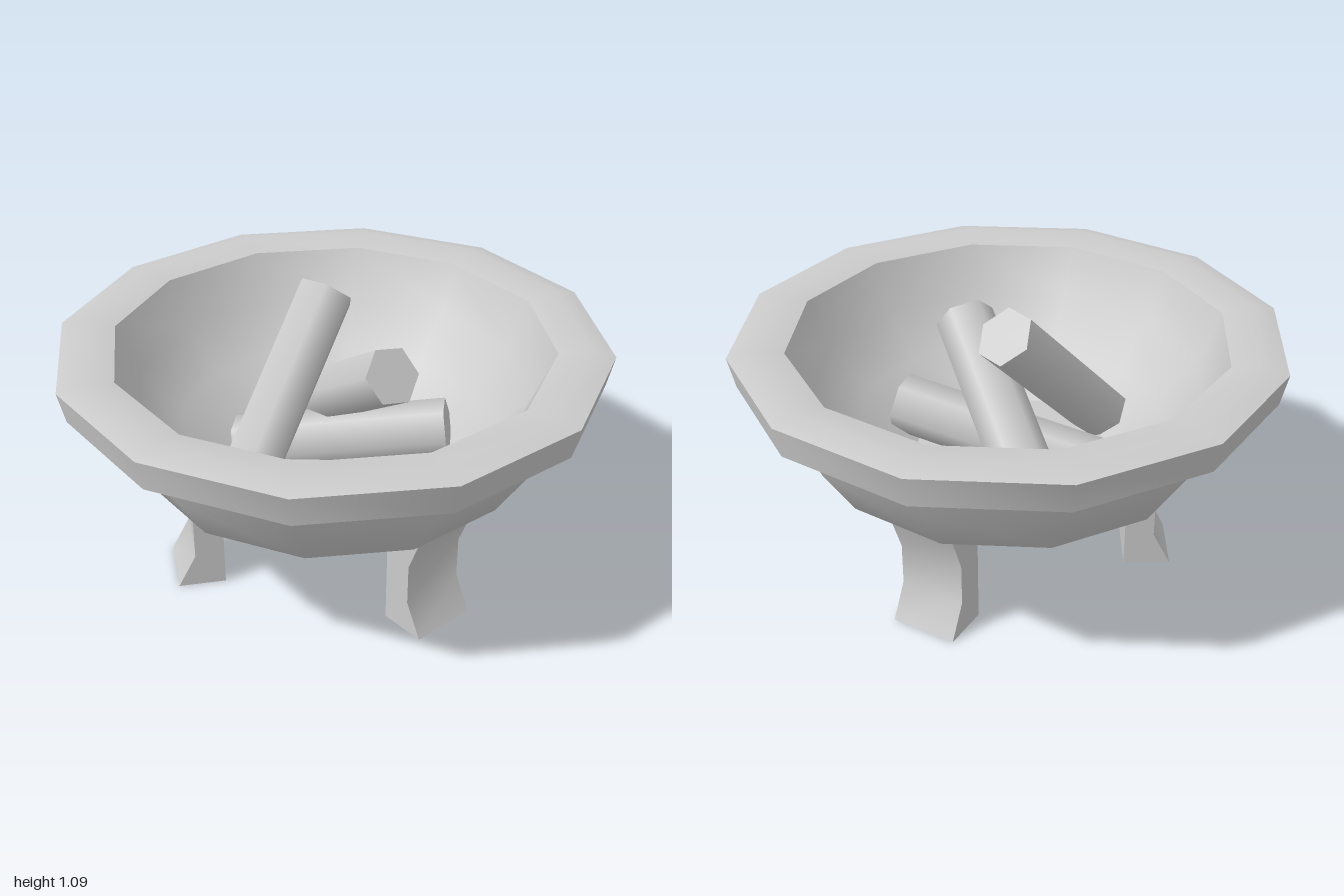
import * as THREE from 'three';
import { toCreasedNormals } from 'three/addons/utils/BufferGeometryUtils.js';

const material = new THREE.MeshStandardMaterial({ color: 0xcccccc, side: THREE.DoubleSide });

function part(name, geometry) {
  const mesh = new THREE.Mesh(geometry, material);
  mesh.name = name;
  return mesh;
}

// Twelve-sided bowl: recessed base, outer wall, rim, inner wall, floor
function makeBowl() {
  const profile = [
    [0, 0.33], [0.37, 0.33], [0.34, 0.235],
    [0.71, 0.49], [0.83, 0.68], [0.89, 0.815],
    [0.975, 0.815], [1, 0.93], [0.92, 0.95], [0.8, 0.93],
    [0.72, 0.75], [0.57, 0.595], [0.36, 0.45], [0, 0.45],
  ].map(([r, y]) => new THREE.Vector2(r, y));
  return part('bowl', toCreasedNormals(new THREE.LatheGeometry(profile, 12), 0.56));
}

// Leg with a straight inner face and a waisted outer face
function makeLeg(angle) {
  const width = 0.25;
  const shape = new THREE.Shape([
    [0.44, 0], [0.617, 0], [0.55, 0.13], [0.55, 0.29], [0.61, 0.445], [0.44, 0.445],
  ].map(([r, y]) => new THREE.Vector2(r, y)));
  const geometry = new THREE.ExtrudeGeometry(shape, { depth: width, bevelEnabled: false });
  geometry.translate(0, 0, -width / 2);
  const leg = part('leg', toCreasedNormals(geometry, 0.6));
  leg.rotation.y = -angle;
  return leg;
}

// Six-sided log between two end points
function makeLog(from, to) {
  const a = new THREE.Vector3(...from);
  const b = new THREE.Vector3(...to);
  const axis = b.clone().sub(a);
  const log = part('log', new THREE.CylinderGeometry(0.11, 0.11, axis.length(), 6));
  log.position.copy(a).add(b).multiplyScalar(0.5);
  log.quaternion.setFromUnitVectors(new THREE.Vector3(0, 1, 0), axis.normalize());
  return log;
}

export function createModel() {
  const model = new THREE.Group();
  model.name = 'fireBowl';
  model.add(makeBowl());

  // Three legs spaced evenly
  for (let i = 0; i < 3; i++) {
    model.add(makeLeg(THREE.MathUtils.degToRad(41.5 + i * 120)));
  }

  // Pile of logs: one low, one leaning, one steep
  const logs = new THREE.Group();
  logs.name = 'logs';
  logs.add(
    makeLog([-0.365, 0.44, -0.025], [0.425, 0.58, -0.025]),
    makeLog([-0.22, 0.45, -0.34], [0.23, 0.885, 0.155]),
    makeLog([-0.29, 0.46, 0.31], [-0.05, 1.02, -0.2]),
  );
  model.add(logs);
  return model;
}
